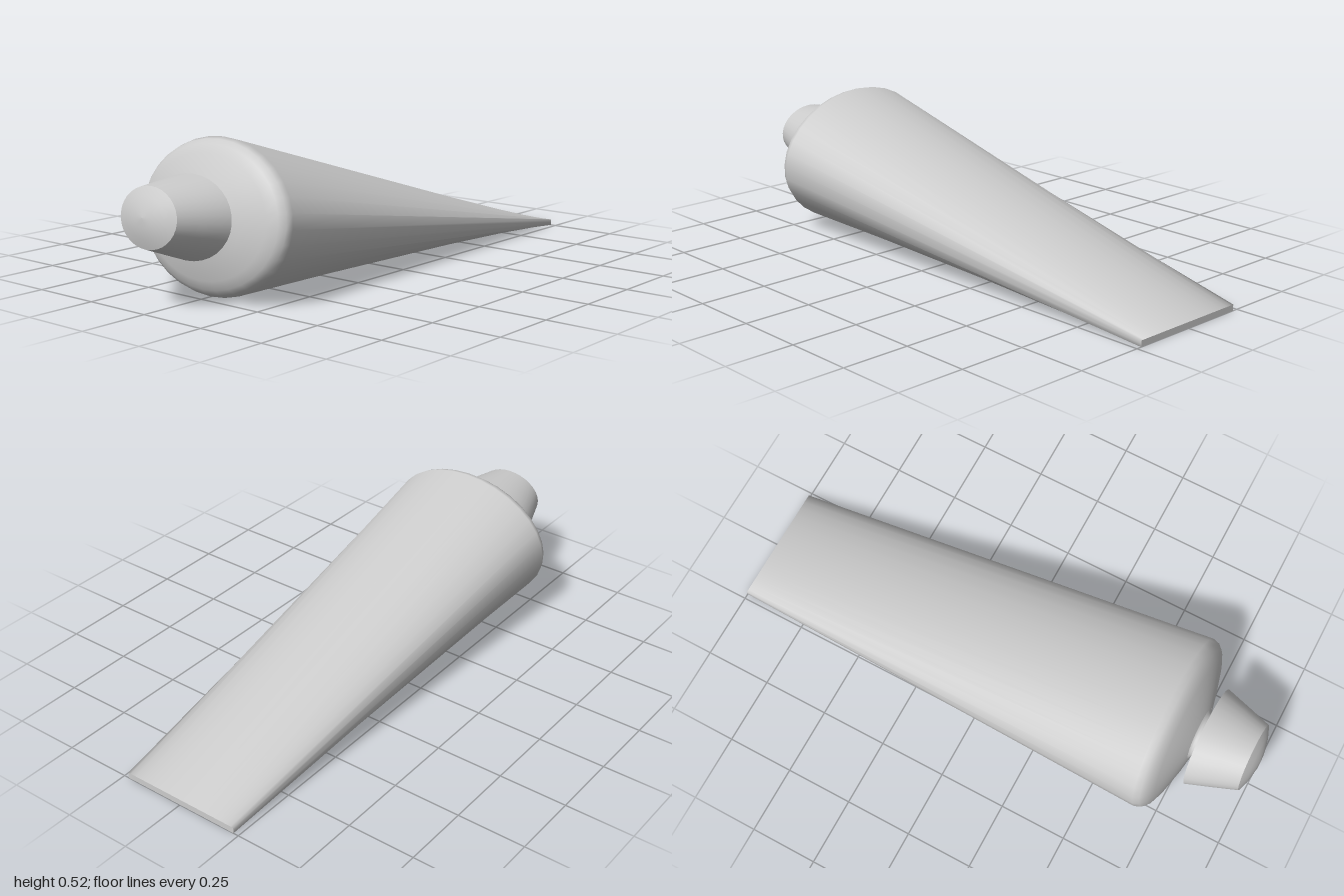
import * as THREE from 'three';

const SEG = 32;
const TILT = 0.14; // lean of the shoulder, neck and cap
const material = new THREE.MeshStandardMaterial({ color: 0xcccccc, side: THREE.DoubleSide });

// Elliptical ring set d along the tilted axis, measured from the tube's widest rim
function ring(d, rz, ry) {
  const cos = Math.cos(TILT), sin = Math.sin(TILT);
  const points = [];
  for (let j = 0; j < SEG; j++) {
    const a = (j / SEG) * Math.PI * 2, up = ry * Math.sin(a);
    points.push([-0.672 - d * cos + up * sin, 0.262 + d * sin + up * cos, rz * Math.cos(a)]);
  }
  return points;
}

// Flat crimped end: the upper half of the ring lies on the top edge, the lower half on the bottom
function crimpRing() {
  const points = [];
  for (let j = 0; j < SEG; j++) {
    const a = (j / SEG) * Math.PI * 2, s = Math.sin(a);
    const y = s > 0.01 ? 0.022 : s < -0.01 ? 0 : 0.011;
    points.push([1, y, 0.23 * THREE.MathUtils.clamp(Math.cos(a) * 1.03, -1, 1)]);
  }
  return points;
}

// Smooth skin through rings ordered from +x to -x
function loft(name, rings) {
  const index = [];
  for (let i = 0; i < rings.length - 1; i++) {
    for (let j = 0; j < SEG; j++) {
      const k = (j + 1) % SEG;
      const a = i * SEG + j, b = i * SEG + k, c = a + SEG, d = b + SEG;
      index.push(a, b, c, b, d, c);
    }
  }
  const geometry = new THREE.BufferGeometry();
  geometry.setAttribute('position', new THREE.Float32BufferAttribute(rings.flat(2), 3));
  geometry.setIndex(index);
  geometry.computeVertexNormals();
  const mesh = new THREE.Mesh(geometry, material);
  mesh.name = name;
  return mesh;
}

export function createModel() {
  const group = new THREE.Group();
  group.name = 'squeezeTube';

  // Tapering body with rounded shoulder
  group.add(loft('tubeBody', [
    crimpRing(),
    ring(0, 0.333, 0.263),
    ring(0.022, 0.325, 0.254),
    ring(0.04, 0.306, 0.238),
    ring(0.056, 0.268, 0.208),
    ring(0.08, 0.18, 0.145),
    ring(0.098, 0.1, 0.08),
  ]));

  // Thin face closing the crimped end
  const crimp = new THREE.Mesh(new THREE.PlaneGeometry(0.46, 0.022), material);
  crimp.name = 'crimpedEnd';
  crimp.rotation.y = Math.PI / 2;
  crimp.position.set(1, 0.011, 0);
  group.add(crimp);

  // Neck between shoulder and cap
  group.add(loft('neck', [ring(0.096, 0.1, 0.08), ring(0.105, 0.085, 0.068), ring(0.135, 0.085, 0.068)]));

  // Tapered cap: underside, side wall and shallow domed end
  group.add(loft('capUnderside', [ring(0.124, 0.08, 0.064), ring(0.124, 0.187, 0.14)]));
  group.add(loft('capWall', [ring(0.124, 0.187, 0.14), ring(0.215, 0.157, 0.12), ring(0.303, 0.127, 0.1)]));
  group.add(loft('capEnd', [
    ring(0.303, 0.127, 0.1),
    ring(0.318, 0.085, 0.067),
    ring(0.327, 0.04, 0.032),
    ring(0.33, 0, 0),
  ]));

  return group;
}
